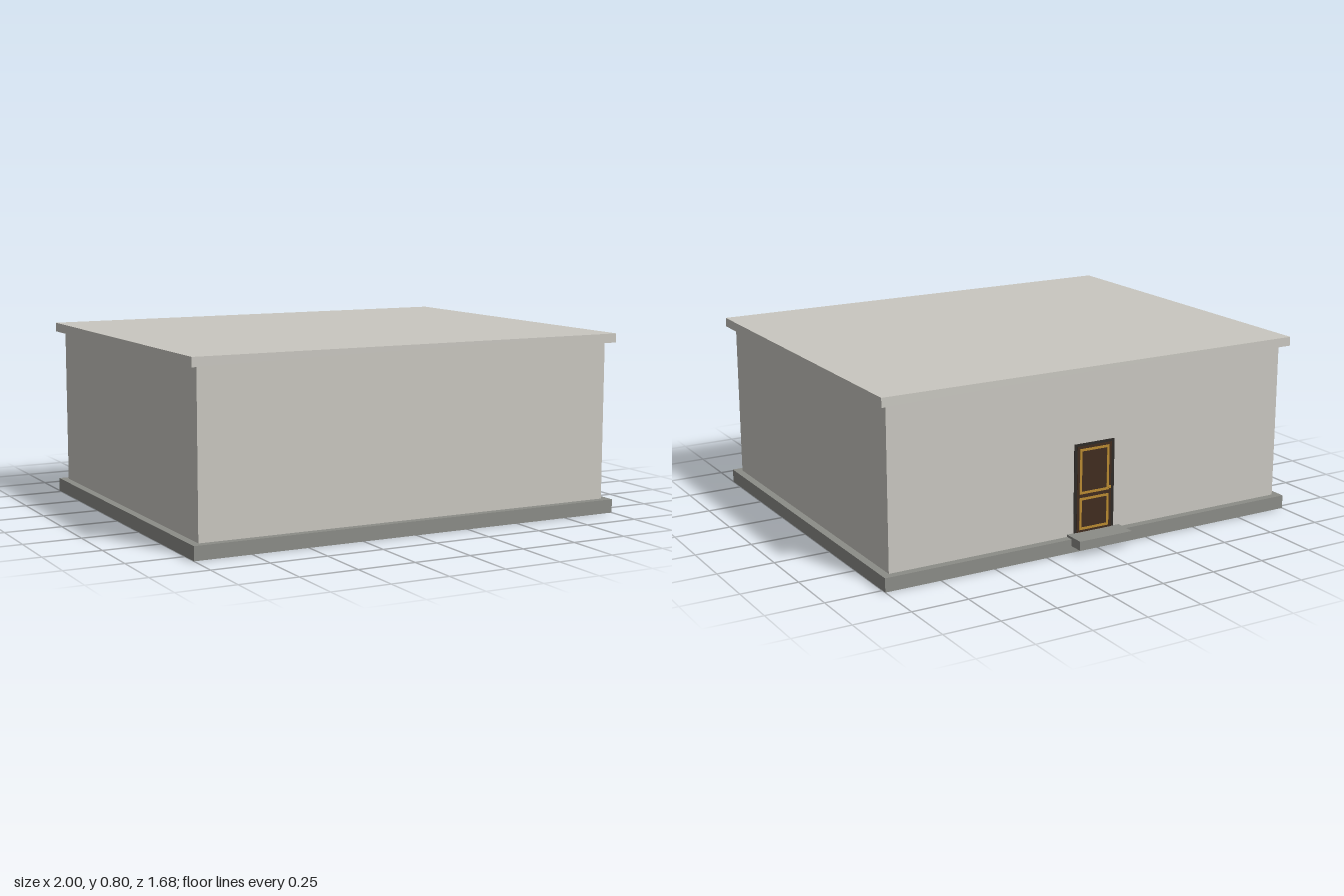
import * as THREE from 'three';

const paint = (name, color) => {
  const m = new THREE.MeshStandardMaterial({ color });
  m.name = name;
  return m;
};

export function createModel() {
  const plaster = paint('plaster', 0xc9c7c0);
  const concrete = paint('concrete', 0x8b8c87);
  const darkFrame = paint('dark frame', 0x2e2a27);
  const wood = paint('dark wood', 0x402c1e);
  const gold = paint('gold trim', 0xb98a30);

  const model = new THREE.Group();
  model.name = 'building';

  // Box given by its lower and upper limits on each axis
  const box = (parent, name, material, [x0, x1], [y0, y1], [z0, z1]) => {
    const mesh = new THREE.Mesh(new THREE.BoxGeometry(x1 - x0, y1 - y0, z1 - z0), material);
    mesh.position.set((x0 + x1) / 2, (y0 + y1) / 2, (z0 + z1) / 2);
    mesh.name = name;
    parent.add(mesh);
  };

  // Main volumes
  box(model, 'foundation', concrete, [-1, 1], [0, 0.06], [-0.775, 0.84]);
  box(model, 'walls', plaster, [-0.966, 0.966], [0.06, 0.755], [-0.74, 0.805]);
  box(model, 'roofSlab', plaster, [-1, 1], [0.755, 0.795], [-0.775, 0.84]);
  box(model, 'doorStep', concrete, [-0.13, 0.13], [0.03, 0.07], [-0.84, -0.74]);

  // Door on the back wall, layered as thin plates
  const door = new THREE.Group();
  door.name = 'door';
  model.add(door);
  const wall = -0.74;
  box(door, 'doorFrame', darkFrame, [-0.1, 0.1], [0.06, 0.46], [wall - 0.002, wall]);
  box(door, 'doorLeaf', wood, [-0.085, 0.085], [0.06, 0.448], [wall - 0.0035, wall]);

  // Gold moulding around the upper and lower panels
  const w = 0.073, t = 0.011;
  const trimZ = [wall - 0.005, wall - 0.003];
  for (const [name, y0, y1] of [['lowerPanel', 0.08, 0.222], ['upperPanel', 0.238, 0.437]]) {
    box(door, name + 'BottomTrim', gold, [-w, w], [y0, y0 + t], trimZ);
    box(door, name + 'TopTrim', gold, [-w, w], [y1 - t, y1], trimZ);
    for (const [side, x] of [['Left', w - t], ['Right', -w]])
      box(door, name + side + 'Trim', gold, [x, x + t], [y0 + t, y1 - t], trimZ);
  }

  // Small handle beside the panels
  box(door, 'doorHandle', gold, [-0.082, -0.07], [0.243, 0.255], [wall - 0.007, wall - 0.003]);

  return model;
}
